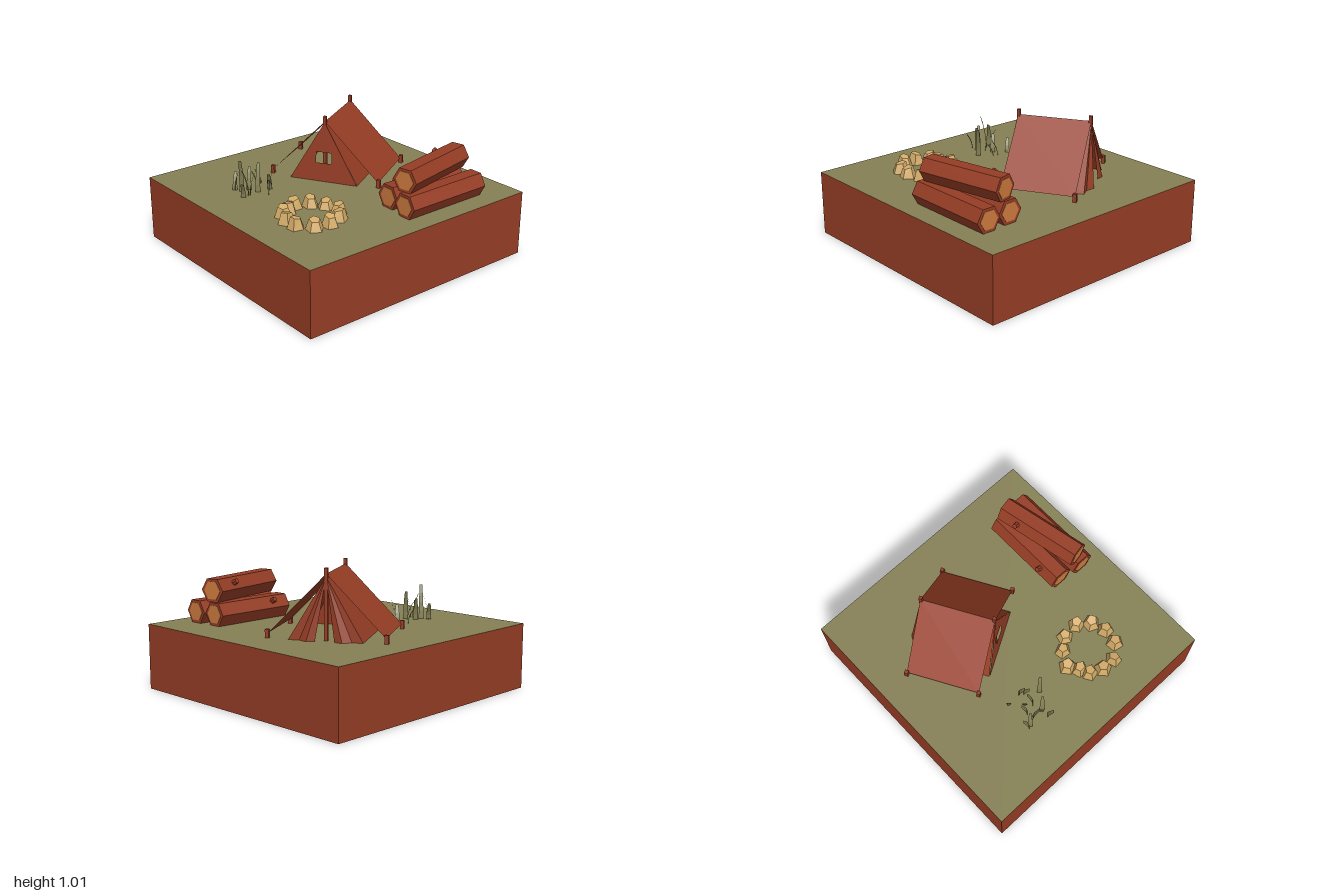
import * as THREE from 'three';

const mat = (name, color) => {
  const m = new THREE.MeshStandardMaterial({ color, flatShading: true, side: THREE.DoubleSide });
  m.name = name;
  return m;
};

export function createModel() {
  const brown = mat('redBrown', 0x963d25);
  const olive = mat('olive', 0x858054);
  const sand = mat('sandStone', 0xd4ac68);
  const wood = mat('cutWood', 0xcd7a3e);

  const model = new THREE.Group();
  model.name = 'campsite';
  const GROUND = 0.5;

  const add = (parent, name, geo, material, x = 0, y = 0, z = 0) => {
    const mesh = new THREE.Mesh(geo, material);
    mesh.name = name;
    mesh.position.set(x, y, z);
    parent.add(mesh);
    return mesh;
  };

  // Triangle fan from the first point through the others
  const fan = (...pts) => {
    const pos = [];
    for (let i = 1; i < pts.length - 1; i++) pos.push(...pts[0], ...pts[i], ...pts[i + 1]);
    const geo = new THREE.BufferGeometry();
    geo.setAttribute('position', new THREE.Float32BufferAttribute(pos, 3));
    geo.computeVertexNormals();
    return geo;
  };

  // Earth block with a grass top
  add(model, 'ground', new THREE.BoxGeometry(2, GROUND, 2),
    [brown, brown, olive, brown, brown, brown], 0, GROUND / 2, 0);

  // Tent, local z along the ridge, y = 0 on the grass
  const tent = new THREE.Group();
  tent.name = 'tent';
  tent.position.set(-0.25, GROUND, -0.255);
  tent.rotation.y = Math.PI / 6;
  model.add(tent);
  const L = 0.28, RIDGE = 0.47, WALL = 0.27, TOP = 0.45;

  for (const s of [-1, 1]) {
    const roof = s > 0
      ? fan([0, RIDGE, L], [0.425, 0.035, L], [0.425, 0.035, -L], [0, RIDGE, -L])
      : fan([0, RIDGE, -L], [-0.425, 0.035, -L], [-0.425, 0.035, L], [0, RIDGE, L]);
    add(tent, 'roofPanel', roof, brown);
    const wall = s > 0
      ? fan([0, TOP, L], [WALL, 0, 0.31], [WALL, 0, -0.305], [0, TOP, -L])
      : fan([0, TOP, -L], [-WALL, 0, -0.305], [-WALL, 0, 0.31], [0, TOP, L]);
    add(tent, 'sideWall', wall, brown);

    // Folded door flap at the back
    const hem = [[0.27, -0.305], [0.19, -0.305], [0.13, -0.345], [0.07, -0.325]];
    if (s < 0) hem.reverse();
    add(tent, 'doorFlap', fan([0, TOP, -L], ...hem.map(([x, z]) => [s * x, 0, z])), brown);

    // Ridge pole and corner pegs
    add(tent, 'ridgePole', new THREE.BoxGeometry(0.025, 0.51, 0.025), brown, 0, 0.255, s * (L - 0.005));
    for (const e of [-1, 1])
      add(tent, 'cornerPeg', new THREE.BoxGeometry(0.028, 0.062, 0.028), brown, s * 0.43, 0.031, e * L);
  }

  // Front wall with a window opening, leaning outward at the foot
  const front = new THREE.Shape([
    new THREE.Vector2(-WALL, 0), new THREE.Vector2(WALL, 0), new THREE.Vector2(0, TOP + 0.015)]);
  front.holes.push(new THREE.Path([
    new THREE.Vector2(-0.062, 0.145), new THREE.Vector2(-0.062, 0.23),
    new THREE.Vector2(0.062, 0.23), new THREE.Vector2(0.062, 0.145)]));
  const frontGeo = new THREE.ShapeGeometry(front);
  const fp = frontGeo.attributes.position;
  for (let i = 0; i < fp.count; i++) fp.setZ(i, 0.315 - 0.03 * fp.getY(i) / TOP);
  frontGeo.computeVertexNormals();
  add(tent, 'frontWall', frontGeo, brown);

  // Stacked six-sided logs with pale cut ends
  const hexLog = (x, y, z, length, turn) => {
    const log = new THREE.Group();
    log.name = 'log';
    log.position.set(x, y, z);
    log.rotation.y = turn;
    model.add(log);
    const hex = (r, h) => new THREE.CylinderGeometry(r, r, h, 6).rotateY(Math.PI / 6).rotateX(Math.PI / 2);
    add(log, 'bark', hex(0.1, length), brown);
    add(log, 'cutEnds', hex(0.076, length + 0.006), wood);
    return log;
  };
  const stub = (log, x, y, z) => {
    const s = add(log, 'branchStub', new THREE.CylinderGeometry(0.02, 0.024, 0.07, 6), brown, x, y, z);
    s.rotation.z = Math.PI / 3;
  };
  hexLog(0.785, 0.587, -0.36, 0.71, 0);
  stub(hexLog(0.585, 0.587, -0.365, 0.67, 0), -0.075, 0.05, 0.18);
  stub(hexLog(0.685, 0.762, -0.36, 0.67, 0.2), -0.075, 0.045, -0.17);

  // Fire ring of chipped stones: x, z
  let seed = 7;
  const rand = () => (seed = (seed * 16807) % 2147483647) / 2147483647;
  const stones = [[0.3, 0.31], [0.43, 0.3], [0.52, 0.37], [0.56, 0.48], [0.54, 0.6], [0.44, 0.685],
    [0.33, 0.685], [0.235, 0.64], [0.2, 0.57], [0.15, 0.49], [0.21, 0.38]];
  const ring = new THREE.Group();
  ring.name = 'fireRing';
  model.add(ring);
  for (const [x, z] of stones) {
    const h = 0.062 + rand() * 0.02;
    const geo = new THREE.CylinderGeometry(0.04, 0.067, h, 5);
    const p = geo.attributes.position;
    const tilt = rand() * 6.28, squash = 0.85 + rand() * 0.25;
    for (let i = 0; i < p.count; i++) {
      // Tilt the top face and stretch the outline
      const drop = p.getY(i) > 0 ? 0.25 * (p.getX(i) * Math.cos(tilt) + p.getZ(i) * Math.sin(tilt)) : 0;
      p.setXYZ(i, p.getX(i) * squash, p.getY(i) + drop, p.getZ(i));
    }
    geo.computeVertexNormals();
    add(ring, 'stone', geo, sand, x, GROUND + h / 2, z).rotation.y = rand() * 6.28;
  }

  // Curved grass blades: x, z, height, quarter turns from the diagonal
  const blades = [[-0.38, 0.415, 0.11, 3], [-0.25, 0.41, 0.12, 0], [-0.22, 0.43, 0.09, 0],
    [-0.13, 0.48, 0.23, 1], [-0.3, 0.5, 0.14, 3], [-0.25, 0.51, 0.22, 2], [-0.33, 0.535, 0.17, 2],
    [-0.21, 0.59, 0.2, 1], [-0.39, 0.62, 0.13, 2], [-0.31, 0.62, 0.26, 0], [-0.25, 0.62, 0.19, 3],
    [-0.21, 0.675, 0.12, 0], [-0.36, 0.62, 0.19, 1]];
  const grass = new THREE.Group();
  grass.name = 'grassTuft';
  model.add(grass);
  for (const [x, z, h, turn] of blades) {
    const geo = new THREE.PlaneGeometry(0.036, h, 1, 4).translate(0, h / 2, 0);
    const p = geo.attributes.position;
    for (let i = 0; i < p.count; i++) {
      const t = p.getY(i) / h;
      p.setX(i, p.getX(i) * (1 - 0.45 * t * t));
      p.setZ(i, 0.045 * t * t - 0.018);
    }
    geo.computeVertexNormals();
    add(grass, 'grassBlade', geo, olive, x, GROUND, z).rotation.y = Math.PI / 4 + turn * Math.PI / 2;
  }

  return model;
}
